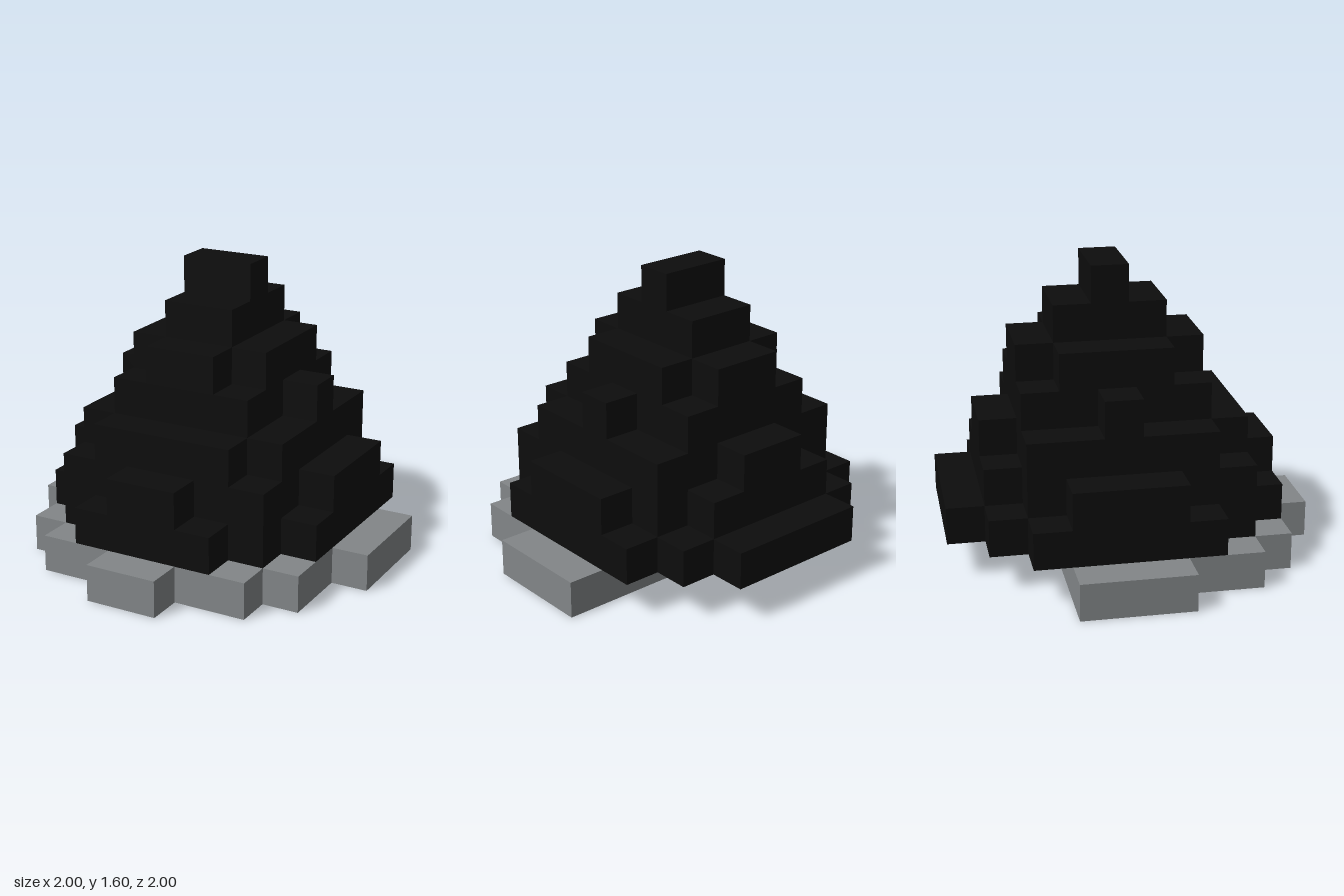
import * as THREE from 'three';

const UNIT = 0.2; // one block

// Each tier lists its rows from back to front as [zStart, zEnd, halfWidth], in blocks.
const BASE = [[-2, 1, 5], [1, 3, 4], [3, 4, 3], [4, 5, 1]];
const TIERS = [
  [[-5, -4, 2], [-4, -3, 3], [-3, 2, 4], [2, 3, 3], [3, 4, 2]],
  [[-4, -3, 2], [-3, -2, 3], [-2, 1, 4], [1, 3, 3], [3, 4, 1]],
  [[-4, -3, 1], [-3, 2, 3], [2, 3, 2]],
  [[-3, -1, 2], [-1, 0, 3], [0, 2, 2]],
  [[-3, -2, 1], [-2, 1, 2], [1, 2, 1]],
  [[-2, 1, 1]],
  [[-1, 0, 1]],
];

// A one-block-high slab with a stepped, mirrored outline
function slab(rows, level, material, name) {
  const side = rows.flatMap(([z0, z1, w]) => [[w, z0], [w, z1]]);
  const outline = [...side, ...side.map(([x, z]) => [-x, z]).reverse()];
  const shape = new THREE.Shape(
    outline.map(([x, z]) => new THREE.Vector2(x * UNIT, -z * UNIT)));
  const geometry = new THREE.ExtrudeGeometry(shape, { depth: UNIT, bevelEnabled: false });
  geometry.rotateX(-Math.PI / 2);
  const mesh = new THREE.Mesh(geometry, material);
  mesh.position.y = level * UNIT;
  mesh.name = name;
  return mesh;
}

export function createModel() {
  const stone = new THREE.MeshStandardMaterial({ color: 0x828688 });
  stone.name = 'grey stone';
  const black = new THREE.MeshStandardMaterial({ color: 0x0d0d0d });
  black.name = 'black';

  const model = new THREE.Group();
  model.name = 'steppedMound';
  model.add(slab(BASE, 0, stone, 'base'));

  // Dark mound, one slab per level
  const mound = new THREE.Group();
  mound.name = 'mound';
  TIERS.forEach((rows, i) => mound.add(slab(rows, i + 1, black, `tier${i + 1}`)));
  model.add(mound);
  return model;
}
